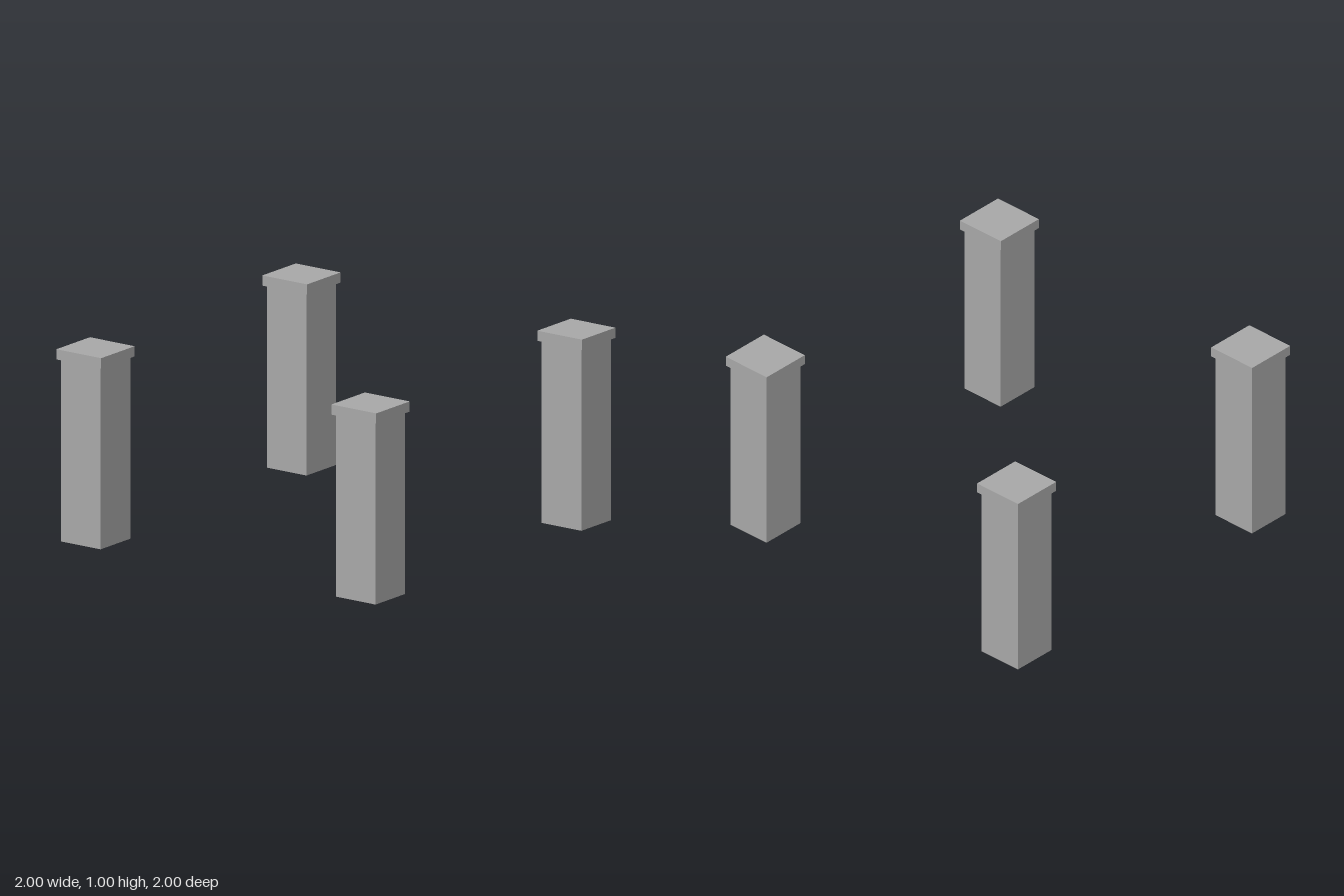
import * as THREE from 'three';

const CAP_WIDTH = 0.28;
const CAP_HEIGHT = 0.053;
const SHAFT_WIDTH = 0.248;
const HEIGHT = 1;
const OFFSET = 1 - CAP_WIDTH / 2;

// Square block standing on the given base height
function block(name, width, height, base, material) {
  const mesh = new THREE.Mesh(new THREE.BoxGeometry(width, height, width), material);
  mesh.name = name;
  mesh.position.y = base + height / 2;
  return mesh;
}

export function createModel() {
  const stone = new THREE.MeshStandardMaterial({ color: 0xaaaaaa });
  stone.name = 'stone grey';

  const model = new THREE.Group();
  model.name = 'cornerPillars';

  // One capped pillar at each corner of the square
  for (const [end, z] of [['front', 1], ['back', -1]]) {
    for (const [side, x] of [['Left', 1], ['Right', -1]]) {
      const pillar = new THREE.Group();
      pillar.name = `${end}${side}Pillar`;
      pillar.position.set(x * OFFSET, 0, z * OFFSET);
      pillar.add(
        block('shaft', SHAFT_WIDTH, HEIGHT - CAP_HEIGHT, 0, stone),
        block('cap', CAP_WIDTH, CAP_HEIGHT, HEIGHT - CAP_HEIGHT, stone)
      );
      model.add(pillar);
    }
  }
  return model;
}
